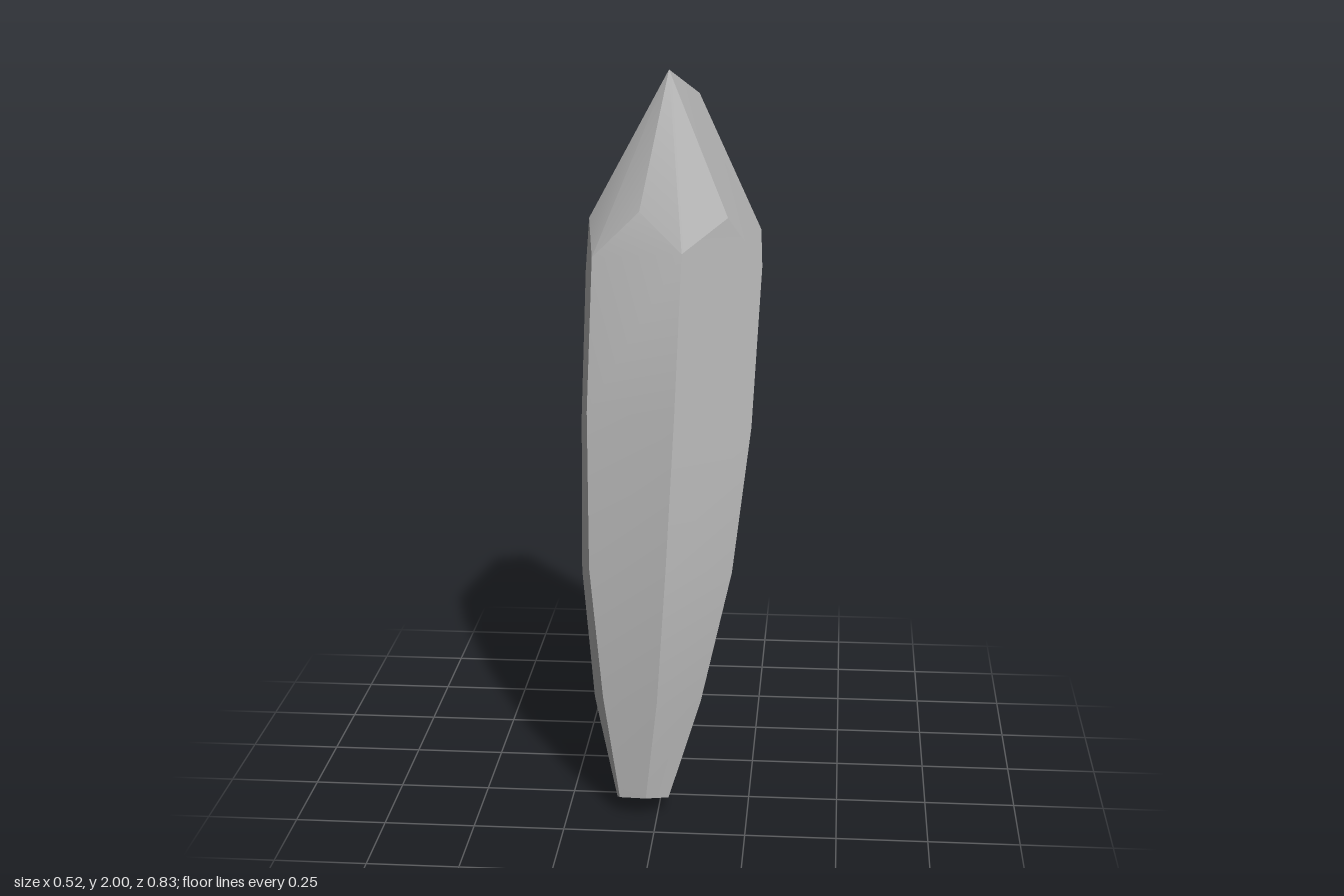
import * as THREE from 'three';
import { toCreasedNormals } from 'three/addons/utils/BufferGeometryUtils.js';

// Shaft rings: centre, then three half-diagonals; the other three corners are their opposites
const RINGS = [
  [[-0.045, 0.03, 0.34], [0.015, 0.03, 0.075], [0.075, 0.015, 0.03], [0.06, -0.02, -0.05]],
  [[-0.04, 0.29, 0.25], [0.04, 0.05, 0.15], [0.155, 0.02, 0.055], [0.115, -0.04, -0.095]],
  [[-0.025, 0.63, 0.13], [0.045, 0.08, 0.215], [0.22, 0.03, 0.08], [0.175, -0.05, -0.135]],
  [[-0.01, 1.03, -0.01], [0.045, 0.085, 0.25], [0.25, 0.015, 0.09], [0.205, -0.07, -0.165]],
  [[0, 1.45, -0.155], [0.045, 0.09, 0.26], [0.26, 0.025, 0.085], [0.213, -0.06, -0.17]],
];

// Peaks above the middle of each shaft side, starting at the front and going round by +x
const PEAKS = [
  [0.165, 1.62, -0.02], [0.25, 1.55, -0.24], [0.09, 1.46, -0.42],
  [-0.15, 1.52, -0.385], [-0.24, 1.59, -0.165], [-0.08, 1.64, 0.015],
];

// The two ends of the short top ridge
const RIDGE_FRONT = [-0.02, 2, -0.28];
const RIDGE_BACK = [0.06, 1.92, -0.4];

function ringCorners([centre, ...halves]) {
  const corner = (h, s) => centre.map((c, k) => c + s * h[k]);
  return [...halves.map((h) => corner(h, 1)), ...halves.map((h) => corner(h, -1))];
}

export function createModel() {
  const group = new THREE.Group();
  group.name = 'crystal';
  const stone = new THREE.MeshStandardMaterial({ color: 0xb0b0b0 });
  stone.name = 'grey stone';

  const positions = [];
  const addFacet = (...points) => {
    for (let i = 1; i < points.length - 1; i++) {
      positions.push(...points[0], ...points[i], ...points[i + 1]);
    }
  };

  const rings = RINGS.map(ringCorners);
  const top = rings[rings.length - 1];

  // Flat base
  addFacet(...[...rings[0]].reverse());

  for (let i = 0; i < 6; i++) {
    const next = (i + 1) % 6;
    // Long bulging side
    for (let k = 0; k < rings.length - 1; k++) {
      addFacet(rings[k][i], rings[k][next], rings[k + 1][next], rings[k + 1][i]);
    }
    // Pointed end of the side
    addFacet(top[i], top[next], PEAKS[i]);

    // Tip facet: the two beside the ridge have five corners, the rest have four
    const right = PEAKS[i];
    const left = PEAKS[(i + 5) % 6];
    const ends = [
      [RIDGE_FRONT], [RIDGE_BACK, RIDGE_FRONT], [RIDGE_BACK],
      [RIDGE_BACK], [RIDGE_FRONT, RIDGE_BACK], [RIDGE_FRONT],
    ][i];
    addFacet(...ends, left, top[i], right);
  }

  const geometry = new THREE.BufferGeometry();
  geometry.setAttribute('position', new THREE.Float32BufferAttribute(positions, 3));
  const shard = new THREE.Mesh(toCreasedNormals(geometry, Math.PI / 6), stone);
  shard.name = 'crystalShard';
  group.add(shard);
  return group;
}
